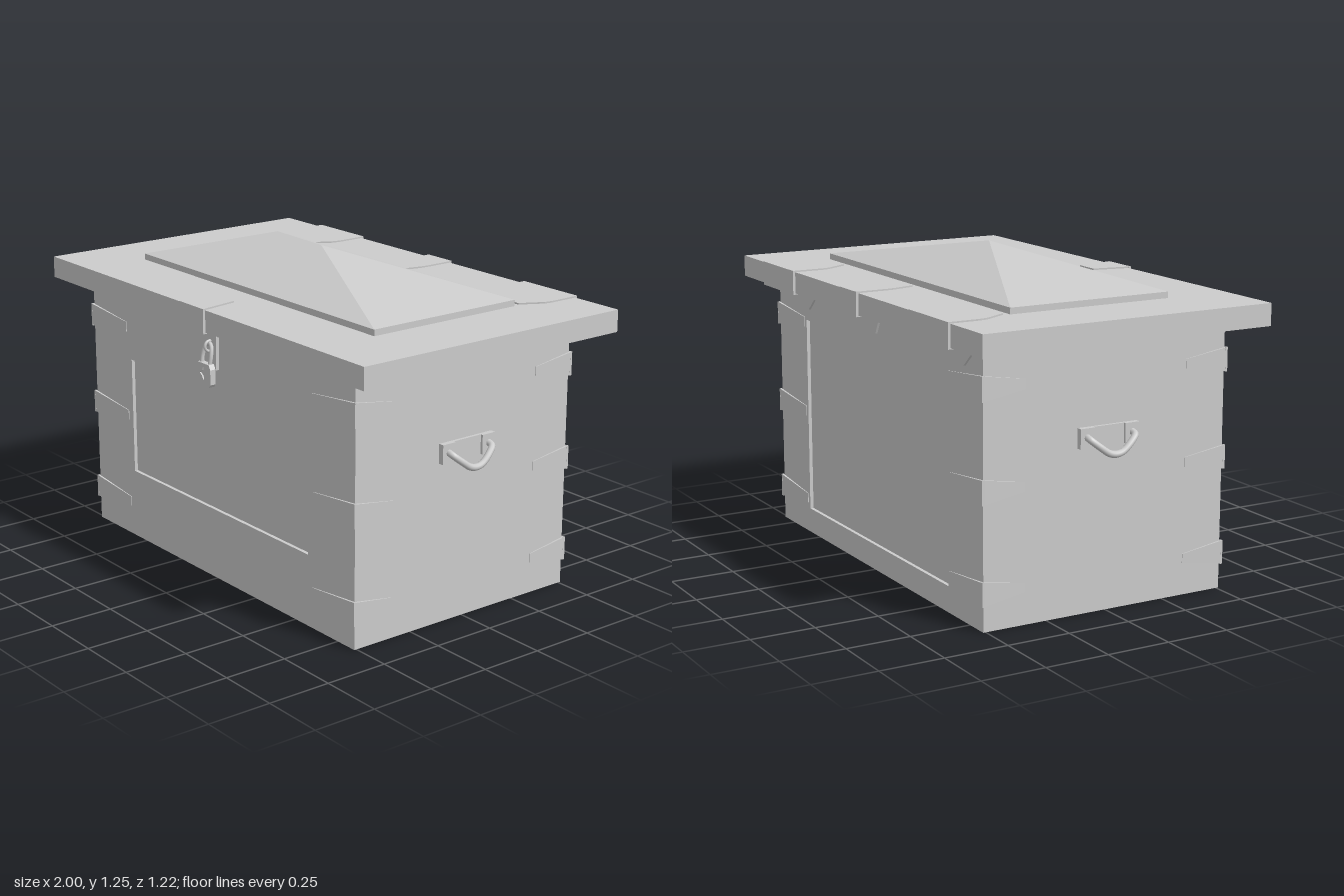
import * as THREE from 'three';

const mat = new THREE.MeshStandardMaterial({ color: 0xcccccc, flatShading: true });
const smooth = new THREE.MeshStandardMaterial({ color: 0xcccccc });

function add(parent, name, geometry, x = 0, y = 0, z = 0, material = mat) {
  const mesh = new THREE.Mesh(geometry, material);
  mesh.name = name;
  mesh.position.set(x, y, z);
  parent.add(mesh);
  return mesh;
}

function group(parent, name, x = 0, y = 0, z = 0) {
  const g = new THREE.Group();
  g.name = name;
  g.position.set(x, y, z);
  parent.add(g);
  return g;
}

const box = (w, h, d) => new THREE.BoxGeometry(w, h, d);
const polygon = (pts) => new THREE.Shape(pts.map(([x, y]) => new THREE.Vector2(x, y)));

// Flat plate cut from an outline, facing +z
function plate(pts, depth, hole) {
  const shape = polygon(pts);
  if (hole) shape.holes.push(polygon(hole));
  return new THREE.ExtrudeGeometry(shape, { depth, bevelEnabled: false });
}

const rect = (x, y0, y1) => [[-x, y0], [x, y0], [x, y1], [-x, y1]];

// Tapered leaf along +x that also thins out toward its tip
function leaf(length, h0, h1, t) {
  const geo = plate([[-t, -h0], [length, -h1], [length, h1], [-t, h0]], t);
  const p = geo.attributes.position;
  for (let i = 0; i < p.count; i++) {
    if (p.getX(i) > 0) p.setZ(i, p.getZ(i) * 0.3);
  }
  geo.computeVertexNormals();
  return geo;
}

// Strap folded over the lid edge; built for the front edge
function lidStrap(parent, name, x, outline) {
  const g = group(parent, name, x, 0, 0);
  const top = add(g, 'strapTop', plate(outline, 0.007), 0, 1.104, 0.6);
  top.rotation.x = -Math.PI / 2;
  const w = outline[1][0] * 2;
  add(g, 'strapEdge', box(w, 0.096, 0.01), 0, 1.063, 0.605);
  add(g, 'strapUnderside', box(w, 0.006, 0.09), 0, 1.018, 0.565);
  return g;
}

export function createModel() {
  const root = new THREE.Group();
  root.name = 'chest';

  // Body with recessed panels in front and back
  const body = group(root, 'body');
  const rim = 0.014;
  add(body, 'bodyCore', box(1.69, 1.02, 1.02 - 2 * rim), 0, 0.51, 0);
  add(body, 'frontFrame', plate(rect(0.845, 0, 1.02), rim, rect(0.575, 0.28, 0.75)), 0, 0, 0.51 - rim);
  const back = add(body, 'backFrame', plate(rect(0.845, 0, 1.02), rim, rect(0.59, 0.1, 0.89)), 0, 0, -0.51 + rim);
  back.rotation.y = Math.PI;

  // Lid with a raised pyramid panel
  const lid = group(root, 'lid');
  add(lid, 'lidSlab', box(2, 0.085, 1.2), 0, 1.0625, 0);
  add(lid, 'lidPanel', box(1.46, 0.024, 0.67), 0, 1.117, 0);
  const pyramid = new THREE.ConeGeometry(Math.SQRT1_2, 1, 4, 1, true).rotateY(Math.PI / 4);
  pyramid.scale(1.46, 0.121, 0.67);
  add(lid, 'lidPyramid', pyramid, 0, 1.1895, 0);

  // Corner straps, three per corner
  for (const y of [0.141, 0.511, 0.88]) {
    for (const sx of [1, -1]) {
      for (const sz of [1, -1]) {
        const corner = group(root, 'cornerStrap', sx * 0.845, y, sz * 0.51);
        const front = add(corner, 'strapFace', leaf(0.24, 0.046, 0.02, 0.009));
        front.rotation.z = Math.PI;
        const side = add(corner, 'strapSide', leaf(0.17, 0.046, 0.018, 0.009));
        side.rotation.y = Math.PI / 2;
        if (sx < 0 && sz < 0) corner.rotation.y = Math.PI;
        else if (sx < 0) corner.rotation.z = Math.PI;
        else if (sz < 0) corner.rotation.x = Math.PI;
      }
    }
  }

  // Hinges along the back edge
  for (const [x, w, tip] of [[-0.635, 0.143, 0.088], [0, 0.07, 0.045], [0.635, 0.143, 0.088]]) {
    const hinge = group(root, 'hinge');
    hinge.rotation.y = Math.PI;
    lidStrap(hinge, 'hingeStrap', x, [
      [-w, -0.01], [w, -0.01], [w, 0.12], [w * 0.96, 0.15], [tip, 0.24], [-tip, 0.24], [-w * 0.96, 0.15], [-w, 0.12],
    ]);
    add(hinge, 'hingePlate', plate([[-tip, 0.94], [tip, 0.94], [w, 0.99], [w, 1.02], [-w, 1.02], [-w, 0.99]], 0.009), x, 0, 0.51);
  }

  // Clasp over the front edge
  lidStrap(root, 'claspStrap', 0, [[-0.078, -0.01], [0.078, -0.01], [0.05, 0.15], [-0.05, 0.15]]);
  const hasp = group(root, 'hasp');
  add(hasp, 'haspPlate', plate([[-0.032, 0.85], [0.032, 0.85], [0.036, 0.98], [0.02, 1.02], [-0.02, 1.02], [-0.036, 0.98]], 0.014), 0, 0, 0.51);
  const staple = add(hasp, 'staple', new THREE.TorusGeometry(0.02, 0.006, 8, 16), 0, 0.94, 0.53, smooth);
  staple.rotation.y = Math.PI / 2;

  // Padlock with a keyhole set into its front
  const lock = group(root, 'padlock');
  const outline = [[-0.036, 0.79], [0.036, 0.79], [0.046, 0.802], [0.046, 0.86], [0.036, 0.878], [-0.036, 0.878], [-0.046, 0.86], [-0.046, 0.802]];
  const keyhole = [[0, 0.81], [0.008, 0.828], [0.024, 0.838], [0.008, 0.848], [0, 0.866], [-0.008, 0.848], [-0.024, 0.838], [-0.008, 0.828]];
  add(lock, 'lockBody', plate(outline, 0.018), 0, 0, 0.536);
  add(lock, 'lockFace', plate(outline, 0.006, keyhole), 0, 0, 0.554);
  const bow = new THREE.CatmullRomCurve3([
    [-0.025, 0.87, 0.548], [-0.026, 0.91, 0.541], [-0.017, 0.94, 0.533], [0, 0.952, 0.53],
    [0.017, 0.94, 0.533], [0.026, 0.91, 0.541], [0.025, 0.87, 0.548],
  ].map((p) => new THREE.Vector3(...p)));
  add(lock, 'shackle', new THREE.TubeGeometry(bow, 24, 0.008, 8), 0, 0, 0, smooth);

  // Side handles
  for (const s of [1, -1]) {
    const handle = group(root, s > 0 ? 'leftHandle' : 'rightHandle');
    if (s < 0) handle.rotation.y = Math.PI;
    add(handle, 'handlePlate', box(0.012, 0.075, 0.25), 0.851, 0.658, 0);
    for (const z of [-0.095, 0.095]) add(handle, 'handleMount', box(0.022, 0.075, 0.06), 0.856, 0.658, z);
    const grip = new THREE.CatmullRomCurve3([
      [0.862, 0.662, 0.096], [0.885, 0.655, 0.094], [0.9, 0.63, 0.065], [0.906, 0.604, 0.028], [0.907, 0.598, 0],
      [0.906, 0.604, -0.028], [0.9, 0.63, -0.065], [0.885, 0.655, -0.094], [0.862, 0.662, -0.096],
    ].map((p) => new THREE.Vector3(...p)));
    add(handle, 'handleGrip', new THREE.TubeGeometry(grip, 40, 0.013, 10), 0, 0, 0, smooth);
  }

  return root;
}
